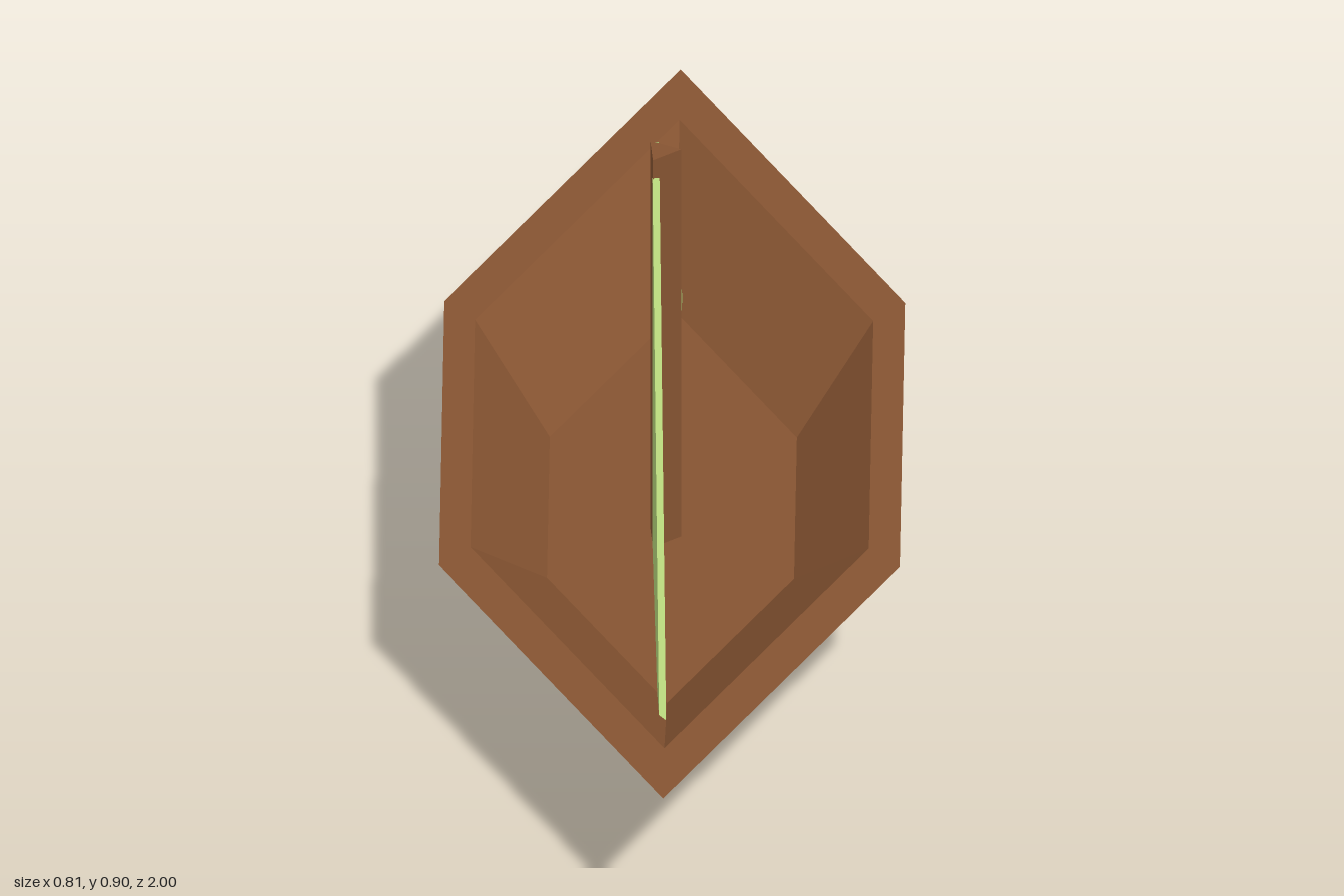
import * as THREE from 'three';

const material = (color, side = THREE.FrontSide) =>
  new THREE.MeshStandardMaterial({ color, flatShading: true, side });

// Skewed hexagonal hull: one outline scaled along a profile of [scale, height]
function makeHull(wood) {
  const half = [[0.122, 1], [0.403, 0.315], [0.313, -0.408]];
  const outline = [...half, ...half.map(([x, z]) => [-x, -z])];
  const profile = [[0, 0], [0.372, 0], [1, 0.31], [0.862, 0.31], [0.535, 0.17], [0, 0.17]];
  const at = (p, i) => {
    const [s, y] = profile[p];
    const [x, z] = outline[i % 6];
    return [x * s, y, z * s];
  };
  const positions = [];
  for (let p = 0; p < profile.length - 1; p++) {
    for (let i = 0; i < 6; i++) {
      const a = at(p, i), b = at(p, i + 1), c = at(p + 1, i + 1), d = at(p + 1, i);
      if (profile[p][0] > 0) positions.push(...a, ...b, ...c);
      if (profile[p + 1][0] > 0) positions.push(...a, ...c, ...d);
      else positions.push();
    }
  }
  const geometry = new THREE.BufferGeometry();
  geometry.setAttribute('position', new THREE.Float32BufferAttribute(positions, 3));
  geometry.computeVertexNormals();
  const hull = new THREE.Mesh(geometry, wood);
  hull.name = 'hull';
  return hull;
}

// Thin sail: outline in [distance from mast, height], swung towards (dx, dz)
function makeSail(name, points, x, z, dx, dz, cloth) {
  const thickness = 0.011;
  const shape = new THREE.Shape(points.map(([u, y]) => new THREE.Vector2(u, y)));
  const geometry = new THREE.ExtrudeGeometry(shape, { depth: thickness, bevelEnabled: false });
  geometry.translate(0, 0, -thickness / 2);
  const sail = new THREE.Mesh(geometry, cloth);
  sail.name = name;
  sail.position.set(x, 0, z);
  sail.rotation.y = Math.atan2(-dz, dx);
  return sail;
}

export function createModel() {
  const boat = new THREE.Group();
  boat.name = 'sailboat';
  const wood = material(0x855331);
  const cloth = material(0xb5d47a, THREE.DoubleSide);

  boat.add(makeHull(wood));

  // Three-sided mast standing on the hull floor
  const mast = new THREE.Mesh(new THREE.CylinderGeometry(0.031, 0.031, 0.737, 3), wood);
  mast.name = 'mast';
  mast.position.set(-0.005, 0.5365, 0.083);
  mast.rotation.y = THREE.MathUtils.degToRad(-18);
  boat.add(mast);

  boat.add(makeSail('frontSail', [[0, 0.17], [0.44, 0.17], [0.562, 0.22], [0, 0.87]],
    -0.01, 0.11, 0.085, 0.55, cloth));
  boat.add(makeSail('backSail', [[0, 0.17], [0.632, 0.175], [0, 0.905]],
    -0.018, 0.062, -0.045, -0.6, cloth));
  return boat;
}
